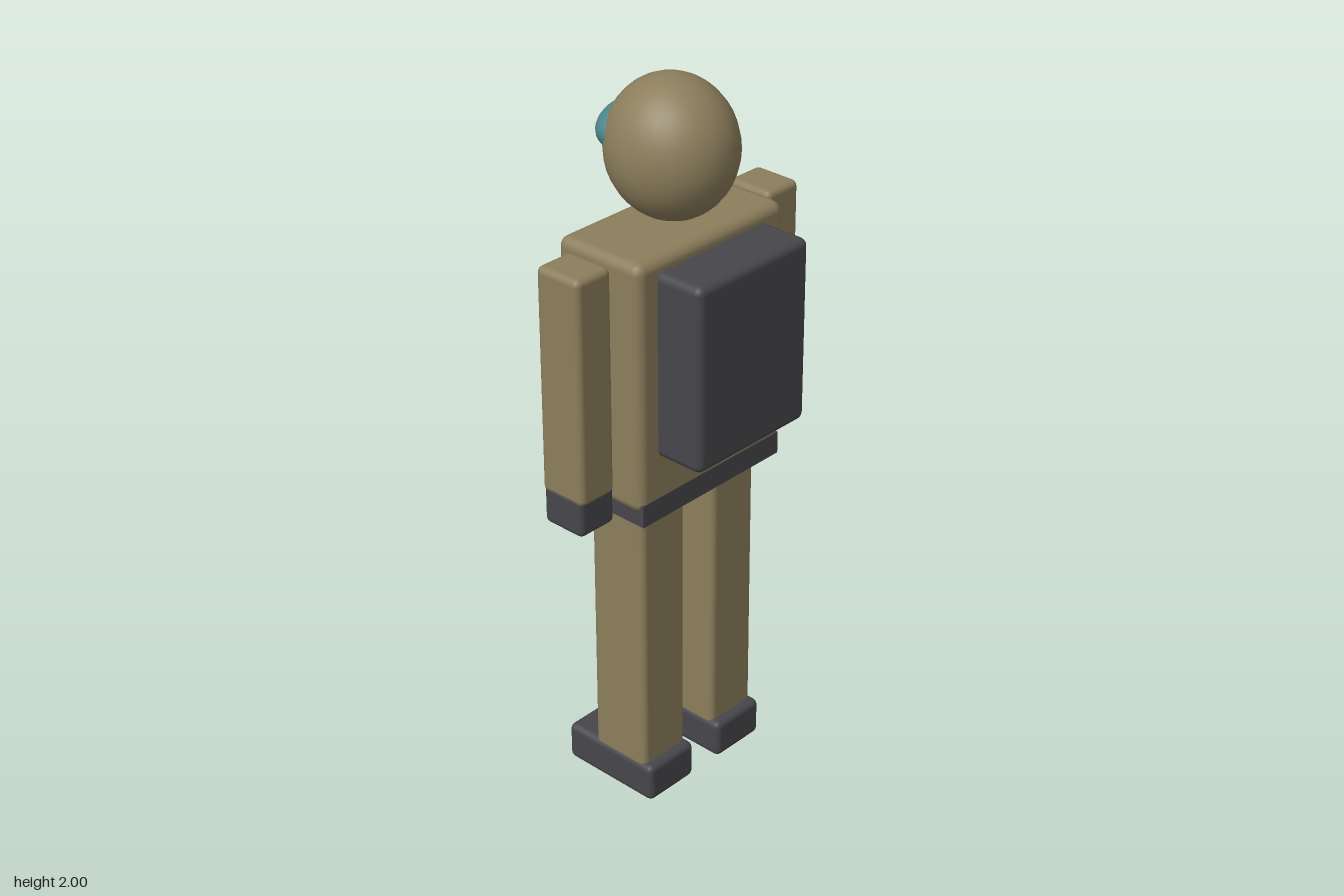
import * as THREE from 'three';
import { RoundedBoxGeometry } from 'three/addons/geometries/RoundedBoxGeometry.js';

const material = (name, color) => {
  const m = new THREE.MeshStandardMaterial({ color });
  m.name = name;
  return m;
};

export function createModel() {
  const model = new THREE.Group();
  model.name = 'suitedFigure';
  const tan = material('tan suit', 0x8c7e5c);
  const dark = material('dark gear', 0x47464b);
  const teal = material('teal visor', 0x4c858c);

  const add = (name, geometry, mat) => {
    const mesh = new THREE.Mesh(geometry, mat);
    mesh.name = name;
    model.add(mesh);
    return mesh;
  };

  // Box given by its [min, max] on each axis; radius 0 keeps sharp edges
  const block = (name, mat, [x0, x1], [y0, y1], [z0, z1], radius = 0) => {
    const size = [x1 - x0, y1 - y0, z1 - z0];
    const geometry = radius
      ? new RoundedBoxGeometry(...size, 2, radius)
      : new THREE.BoxGeometry(...size);
    add(name, geometry, mat)
      .position.set((x0 + x1) / 2, (y0 + y1) / 2, (z0 + z1) / 2);
  };

  const ellipsoid = (name, mat, center, radii) => {
    const mesh = add(name, new THREE.SphereGeometry(1, 28, 20), mat);
    mesh.scale.set(...radii);
    mesh.position.set(...center);
  };

  // Head: the face looks toward -z
  ellipsoid('head', tan, [0, 1.815, -0.042], [0.163, 0.185, 0.175]);
  ellipsoid('visor', teal, [0, 1.847, -0.145], [0.13, 0.07, 0.09]);
  block('helmetLamp', tan, [0.128, 0.16], [1.9, 1.927], [-0.16, -0.105]);

  // Trunk
  block('torso', tan, [-0.265, 0.265], [0.935, 1.625], [-0.18, 0.096], 0.028);
  block('belt', dark, [-0.256, 0.256], [0.9, 0.963], [-0.18, 0.096]);
  block('chestPanel', dark, [-0.112, 0.112], [1.38, 1.47], [-0.2, -0.17]);
  block('backpack', dark, [-0.2, 0.2], [1.08, 1.59], [0.05, 0.234], 0.022);

  // Limbs, mirrored
  for (const [side, s] of [['left', 1], ['right', -1]]) {
    const span = (a, b) => (s > 0 ? [a, b] : [-b, -a]);
    block(side + 'Arm', tan, span(0.283, 0.402), [0.99, 1.615], [-0.114, 0.027], 0.018);
    block(side + 'Hand', dark, span(0.284, 0.403), [0.903, 1.01], [-0.107, 0.024], 0.015);
    block(side + 'Leg', tan, span(0.053, 0.214), [0, 0.95], [-0.132, 0.052], 0.018);
    block(side + 'Boot', dark, span(0.048, 0.22), [0.002, 0.113], [-0.23, 0.08], 0.018);
  }

  return model;
}
